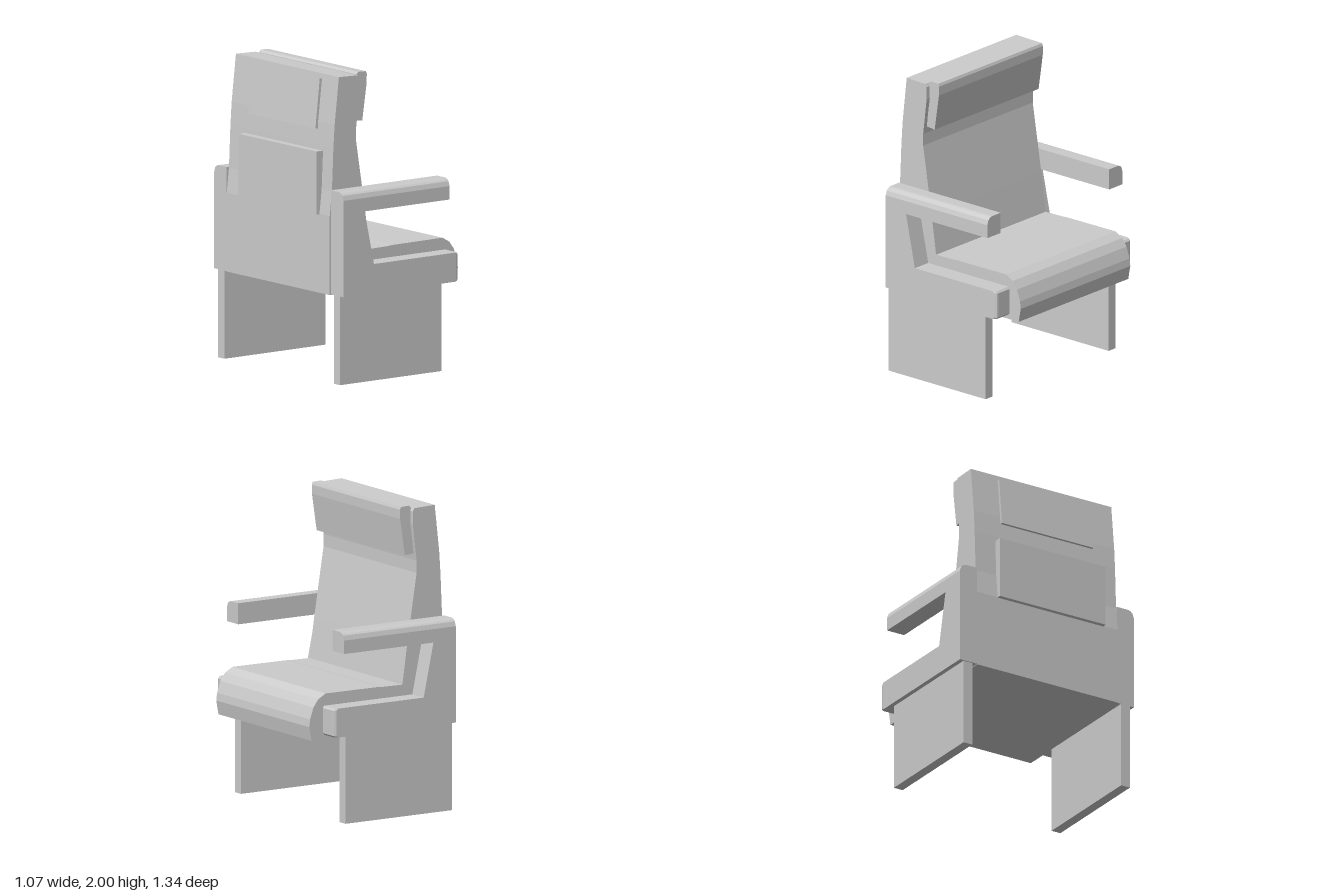
import * as THREE from 'three';

const material = new THREE.MeshStandardMaterial({ color: 0xcccccc, flatShading: true });

function add(parent, name, geometry) {
  const mesh = new THREE.Mesh(geometry, material);
  mesh.name = name;
  parent.add(mesh);
  return mesh;
}

// Side profile (x, y) extruded across the width, from z0 to z1
function slab(points, z0, z1, steps = 1) {
  const shape = new THREE.Shape(points.map(([x, y]) => new THREE.Vector2(x, y)));
  return new THREE.ExtrudeGeometry(shape, { depth: z1 - z0, steps, bevelEnabled: false }).translate(0, 0, z0);
}

// How far a rounded edge of radius r falls back, at distance d from the outer face
const drop = (d, r) => (d >= r ? 0 : r - Math.sqrt(Math.max(0, r * r - (r - d) ** 2)));

// C-shaped armrest on the side sign (+1 or -1), rounded along its outer edges
function armrest(sign) {
  const inner = 0.537, outer = 0.668, steps = 13;
  const profile = [
    [-0.505, 0.578], [0.425, 0.578], [0.436, 0.59], [0.436, 0.755], [0.425, 0.768],
    [-0.257, 0.768], [-0.332, 1.12], [0.36, 1.12], [0.36, 1.258], [-0.505, 1.258],
  ];
  const geometry = sign > 0 ? slab(profile, inner, outer, steps) : slab(profile, -outer, -inner, steps);
  const p = geometry.attributes.position;
  for (let i = 0; i < p.count; i++) {
    const d = outer - Math.abs(p.getZ(i));
    if (p.getY(i) > 1.25) p.setY(i, p.getY(i) - drop(d, 0.05));
    if (p.getX(i) > 0.42) p.setX(i, p.getX(i) - drop(d, 0.02));
  }
  geometry.translate(sign * 0.005, 0, 0);
  geometry.computeVertexNormals();
  return geometry;
}

export function createModel() {
  const chair = new THREE.Group();
  chair.name = 'armchair';

  // Seat cushion and backrest in one continuous profile
  add(chair, 'seatAndBack', slab([
    [-0.51, 0.575], [0.32, 0.548], [0.518, 0.548], [0.535, 0.64], [0.529, 0.69], [0.503, 0.765],
    [0.466, 0.815], [0.41, 0.847], [0, 0.845], [-0.04, 0.842], [-0.185, 0.84],
    [-0.222, 1.1], [-0.295, 1.56], [-0.295, 1.64], [-0.285, 1.72], [-0.266, 1.88],
    [-0.266, 1.965], [-0.278, 1.985], [-0.435, 1.99], [-0.47, 1.68], [-0.48, 1.53],
    [-0.492, 1.25], [-0.51, 1.09],
  ], -0.537, 0.537));

  // Headrest pad
  add(chair, 'headrest', slab([
    [-0.293, 1.685], [-0.222, 1.678], [-0.186, 1.92], [-0.185, 1.98], [-0.192, 1.998],
    [-0.255, 2], [-0.268, 1.985], [-0.264, 1.88],
  ], -0.51, 0.508));

  // Panels on the rear of the backrest
  add(chair, 'upperBackPanel', slab([
    [-0.492, 1.635], [-0.472, 1.635], [-0.437, 1.955], [-0.457, 1.96],
  ], -0.335, 0.365));
  add(chair, 'lowerBackPanel', slab([
    [-0.535, 1.09], [-0.495, 1.085], [-0.48, 1.5], [-0.535, 1.5],
  ], -0.38, 0.43));

  // Armrests and the leg panels beneath them
  for (const sign of [1, -1]) {
    const side = sign > 0 ? 'left' : 'right';
    add(chair, side + 'Armrest', armrest(sign));
    const leg = add(chair, side + 'LegPanel', new THREE.BoxGeometry(0.825, 0.58, 0.067));
    leg.position.set(-0.09, 0.29, sign * 0.603);
  }
  return chair;
}
